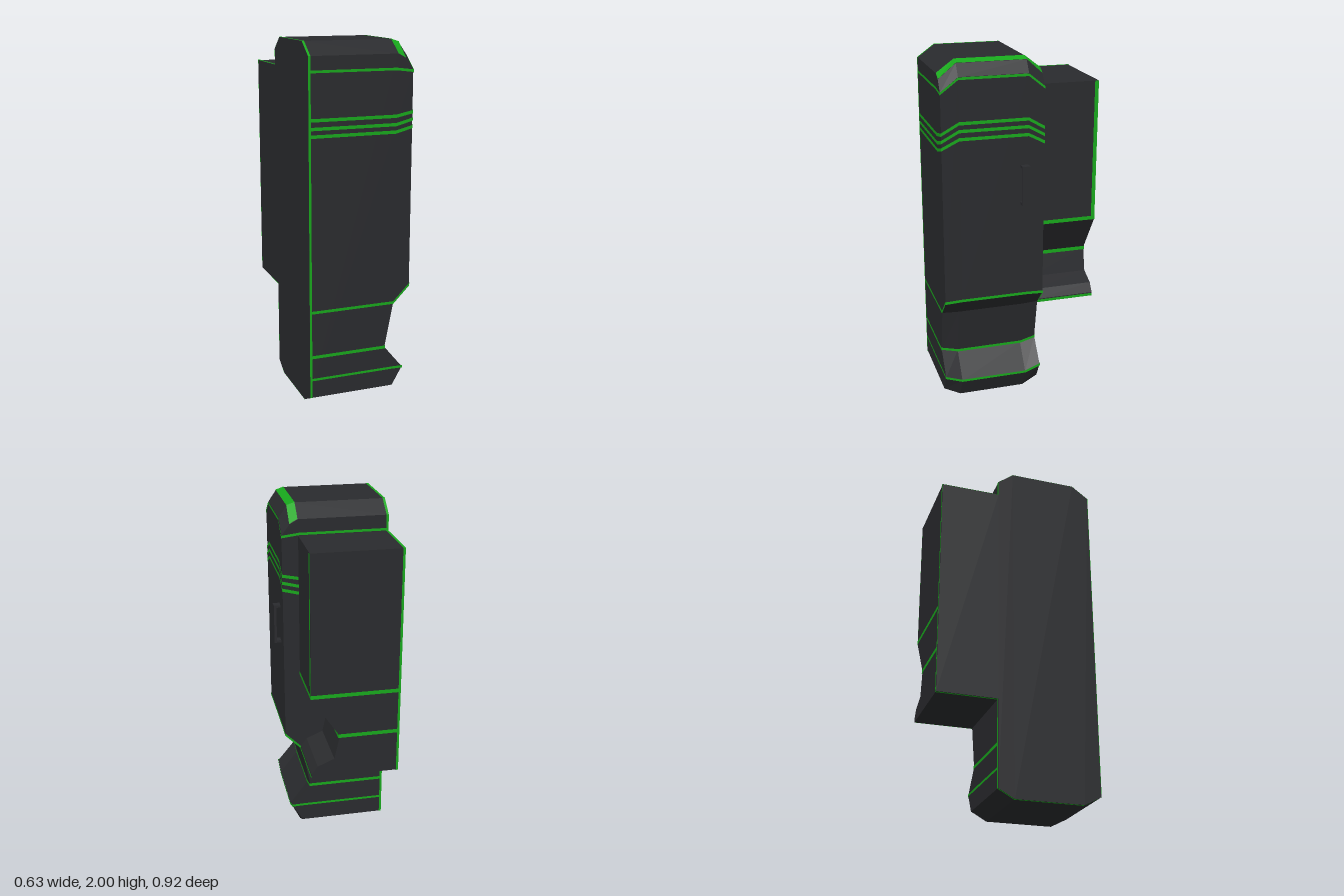
import * as THREE from 'three';

const dark = new THREE.MeshStandardMaterial({ color: 0x2a2b2e, flatShading: true });
const green = new THREE.MeshStandardMaterial({ color: 0x18a81c, side: THREE.DoubleSide });

const L = -0.315, FRONT = 0.457, MID_F = 0.36, MID_B = -0.025, BACK = -0.115, REAR = -0.457;

function mesh(name, pos, material) {
  const g = new THREE.BufferGeometry();
  g.setAttribute('position', new THREE.Float32BufferAttribute(pos, 3));
  g.computeVertexNormals();
  const m = new THREE.Mesh(g, material);
  m.name = name;
  return m;
}

// Closed solid through sections {z, pts}, front to back, pts counter-clockwise seen from +z
function loft(name, sections, material) {
  const pos = [];
  const put = (s, i) => pos.push(s.pts[i][0], s.pts[i][1], s.z);
  const n = sections[0].pts.length;
  for (let k = 0; k < sections.length - 1; k++) {
    const a = sections[k], b = sections[k + 1];
    for (let i = 0; i < n; i++) {
      const j = (i + 1) % n;
      put(a, i); put(b, i); put(b, j);
      put(a, i); put(b, j); put(a, j);
    }
  }
  const cap = (s, flip) => {
    const tris = THREE.ShapeUtils.triangulateShape(s.pts.map(p => new THREE.Vector2(...p)), []);
    for (const [p, q, r] of tris) (flip ? [r, q, p] : [p, q, r]).forEach(i => put(s, i));
  };
  cap(sections[0], false);
  cap(sections[sections.length - 1], true);
  return mesh(name, pos, material);
}

// Flat band along a path, with its width along one axis (0 = x, 1 = y, 2 = z)
function ribbon(name, path, width, axis = 1) {
  const pos = [];
  const shift = (p, s) => p.map((v, i) => (i === axis ? v + s * width / 2 : v));
  for (let i = 0; i < path.length - 1; i++) {
    const a = shift(path[i], -1), b = shift(path[i + 1], -1);
    const c = shift(path[i + 1], 1), d = shift(path[i], 1);
    pos.push(...a, ...b, ...c, ...a, ...c, ...d);
  }
  return mesh(name, pos, green);
}

export function createModel() {
  const model = new THREE.Group();
  model.name = 'cabinet';

  // Main body: x, y in the middle sections, y at the front and back ends
  const profile = [
    [L, 0, 0.05], [0.18, 0, 0.05], [0.24, 0.12, 0.155], [0.13, 0.265, 0.29],
    [0.18, 0.54, 0.545], [0.275, 0.65, 0.645], [0.275, 1.92, 1.845],
    [0.23, 1.985, 1.905], [0.185, 2, 1.93], [L, 2, 1.93],
  ];
  const mid = profile.map(p => [p[0], p[1]]);
  const end = profile.map(p => [p[0], p[2]]);
  model.add(loft('mainBody', [
    { z: FRONT, pts: end }, { z: MID_F, pts: mid }, { z: MID_B, pts: mid }, { z: BACK, pts: end },
  ], dark));

  // Rear unit with a recessed ledge facing +x
  const rear = [
    [L, 0.54], [0.185, 0.54], [0.185, 0.56], [0.15, 0.61], [0.055, 0.65],
    [0.025, 0.79], [0.185, 1.03], [0.185, 1.84], [L, 1.84],
  ];
  model.add(loft('rearUnit', [{ z: BACK, pts: rear }, { z: REAR, pts: rear }], dark));

  // Stripes round the main body: x, y on the front, at the corner, in the middle, kink x, width
  const e = 0.002;
  const stripes = [
    [0.275, 1.85, 1.838, 1.912, 0.18, 0.014],
    [0.275, 1.6, 1.62, 1.674, 0.18, 0.018],
    [0.275, 1.555, 1.58, 1.632, 0.18, 0.018],
    [0.275, 1.515, 1.54, 1.588, 0.18, 0.018],
    [0.275, 0.55, 0.648, 0.652, 0.18, 0.016],
    [0.133, 0.29, 0.29, 0.265, 0.1, 0.018],
    [0.24, 0.157, 0.155, 0.12, 0.18, 0.014],
  ];
  for (const [x, yFront, yCorner, yMid, kink, width] of stripes) {
    const half = [[L, yFront], [kink, yFront], [x + e, yCorner]];
    model.add(ribbon('bodyStripe', [
      ...half.map(([px, py]) => [px, py, FRONT + e]),
      [x + e, yMid, MID_F], [x + e, yMid, MID_B],
      ...half.reverse().map(([px, py]) => [px, py, BACK - e]),
    ], width));
  }

  // Green bevel along the upper right edge
  const bevel = [];
  const zs = [FRONT, MID_F, MID_B, BACK];
  for (let k = 0; k < 3; k++) {
    const at = (i, j) => [profile[i][0] + e, profile[i][j === 0 || j === 3 ? 2 : 1] + e, zs[j]];
    const a = at(7, k), b = at(7, k + 1), c = at(8, k + 1), d = at(8, k);
    bevel.push(...a, ...b, ...c, ...a, ...c, ...d);
  }
  model.add(mesh('topBevel', bevel, green));

  // Edge trim along the flat left wall
  const xTrim = L + 0.0065;
  const outline = [
    [0.05, FRONT + e], [1.93, FRONT + e], [2 + e / 2, MID_F], [2 + e / 2, MID_B],
    [1.93, BACK - e], [0.05, BACK - e], [-e / 2, MID_B], [-e / 2, MID_F], [0.05, FRONT + e],
  ];
  model.add(ribbon('bodyTrim', outline.map(([y, z]) => [xTrim, y, z]), 0.013, 0));
  const rearOutline = [[1.842, BACK], [1.842, REAR - e], [0.538, REAR - e], [0.538, BACK]];
  model.add(ribbon('rearTrim', rearOutline.map(([y, z]) => [xTrim, y, z]), 0.013, 0));

  // Rear unit stripes and corner strip
  for (const [x, y] of [[0.185, 1.038], [0.032, 0.79]]) {
    model.add(ribbon('rearStripe', [[x + e, y, BACK], [x + e, y, REAR - e], [L, y, REAR - e]], 0.022));
  }
  model.add(ribbon('rearBottomStripe', [[0.185 + e, 0.548, BACK], [0.185 + e, 0.548, REAR]], 0.016));
  model.add(ribbon('rearCornerStrip', [[0.185 + e, 1.03, -0.446], [0.185 + e, 1.84, -0.446]], 0.022, 2));

  // Door handle
  const handle = new THREE.Group();
  handle.name = 'handle';
  const bar = (w, h, x, y) => {
    const m = new THREE.Mesh(new THREE.BoxGeometry(w, h, 0.044), dark);
    m.position.set(x, y, -0.002);
    m.name = 'handleBar';
    handle.add(m);
  };
  bar(0.014, 0.225, 0.306, 1.307);
  bar(0.03, 0.014, 0.286, 1.413);
  bar(0.03, 0.014, 0.286, 1.202);
  model.add(handle);

  return model;
}
